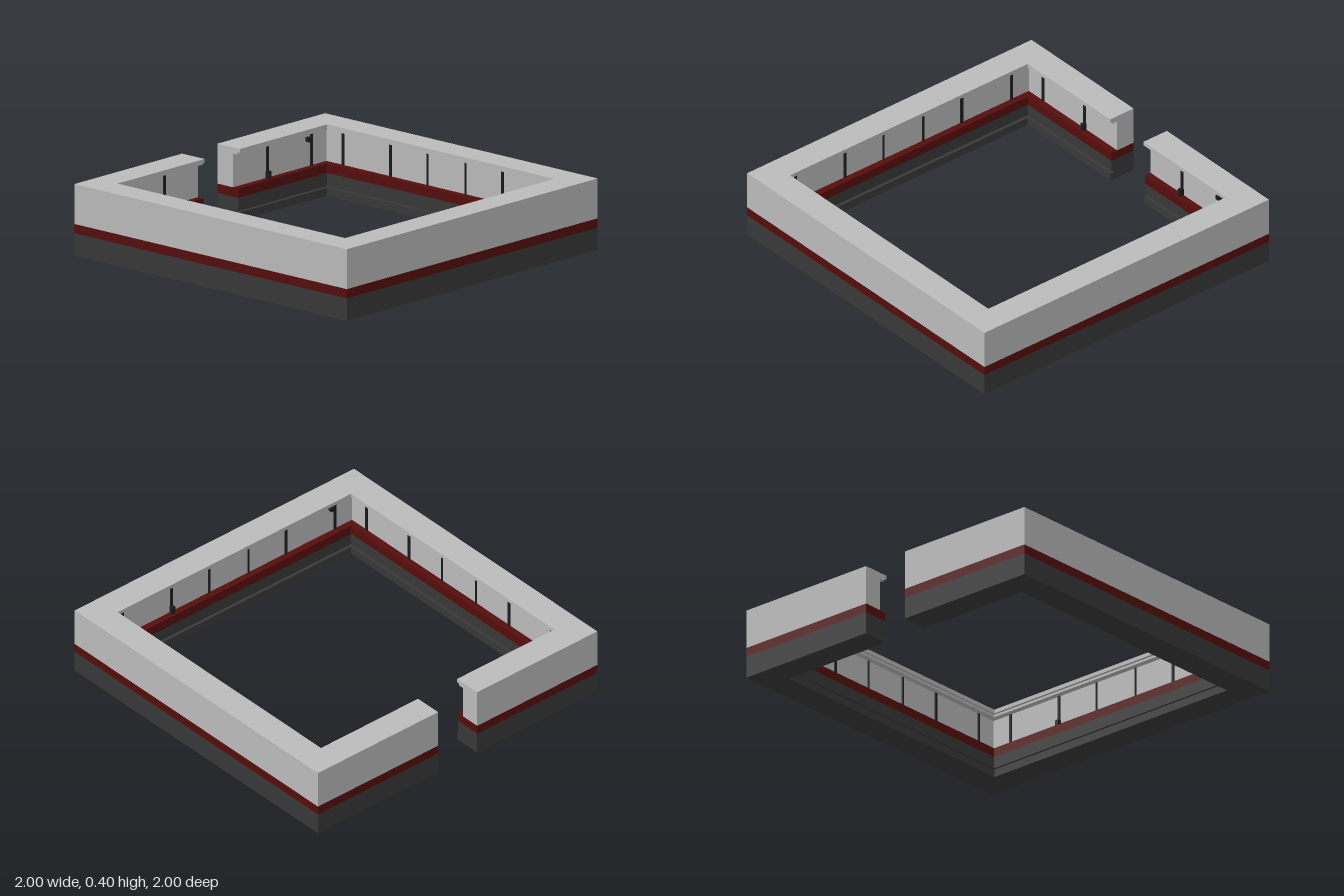
import * as THREE from 'three';

const mat = (name, color) => Object.assign(new THREE.MeshStandardMaterial({ color }), { name });

export function createModel() {
  const model = new THREE.Group();
  model.name = 'lowPerimeterWall';
  const grey = mat('wall grey', 0xbbbbbb);
  const dark = mat('base charcoal', 0x383838);
  const red = mat('stripe dark red', 0x560c0c);
  const black = mat('seam black', 0x1c1c1c);
  const GAP = 0.14; // half width of the entrance in the back wall

  // One horizontal layer of the square ring, open at the back
  function layer(name, y0, y1, inner, material) {
    const s = new THREE.Shape([
      [GAP, 1], [GAP, inner], [inner, inner], [inner, -inner],
      [-inner, -inner], [-inner, inner], [-GAP, inner], [-GAP, 1],
      [-1, 1], [-1, -1], [1, -1], [1, 1],
    ].map(([x, y]) => new THREE.Vector2(x, y)));
    const g = new THREE.ExtrudeGeometry(s, { depth: y1 - y0, bevelEnabled: false });
    g.rotateX(-Math.PI / 2).translate(0, y0, 0);
    const mesh = new THREE.Mesh(g, material);
    mesh.name = name;
    model.add(mesh);
  }
  layer('plinth', 0, 0.045, 0.838, dark);
  layer('plinthGroove', 0.045, 0.057, 0.86, dark);
  layer('base', 0.057, 0.125, 0.845, dark);
  layer('redStripe', 0.125, 0.177, 0.845, red);
  layer('upperWall', 0.177, 0.365, 0.885, grey);
  layer('capUnderside', 0.365, 0.378, 0.85, grey);
  layer('cap', 0.378, 0.4, 0.835, grey);

  // Inner fittings: sides in order front, left, back, right
  const sides = ['front', 'left', 'back', 'right'];
  sides.forEach((side, i) => {
    const fittings = new THREE.Group();
    fittings.name = side + 'InnerFittings';
    fittings.rotation.y = i * Math.PI / 2;
    const box = (name, w, h, d, x, y, material) => {
      const m = new THREE.Mesh(new THREE.BoxGeometry(w, h, d), material);
      m.name = name;
      m.position.set(x, y, 0.885 - d / 2);
      fittings.add(m);
    };
    // Vertical seams between the panels
    for (const x of [-0.76, -0.41, -0.14, 0.14, 0.41, 0.76]) {
      if (side === 'back' && Math.abs(x) < 0.2) continue;
      const w = Math.abs(x) < 0.2 ? 0.009 : 0.015;
      box('panelSeam', w, 0.188, 0.008, x, 0.271, black);
    }
    // Small latches at the foot of the seams and below the cap
    if (side === 'front' || side === 'back') {
      box('footLatch', 0.022, 0.04, 0.025, 0.41, 0.197, black);
      if (side === 'back') box('footLatch', 0.022, 0.04, 0.025, -0.41, 0.197, black);
      box('topLatch', 0.022, 0.025, 0.025, -0.73, 0.33, black);
    }
    model.add(fittings);
  });

  return model;
}
